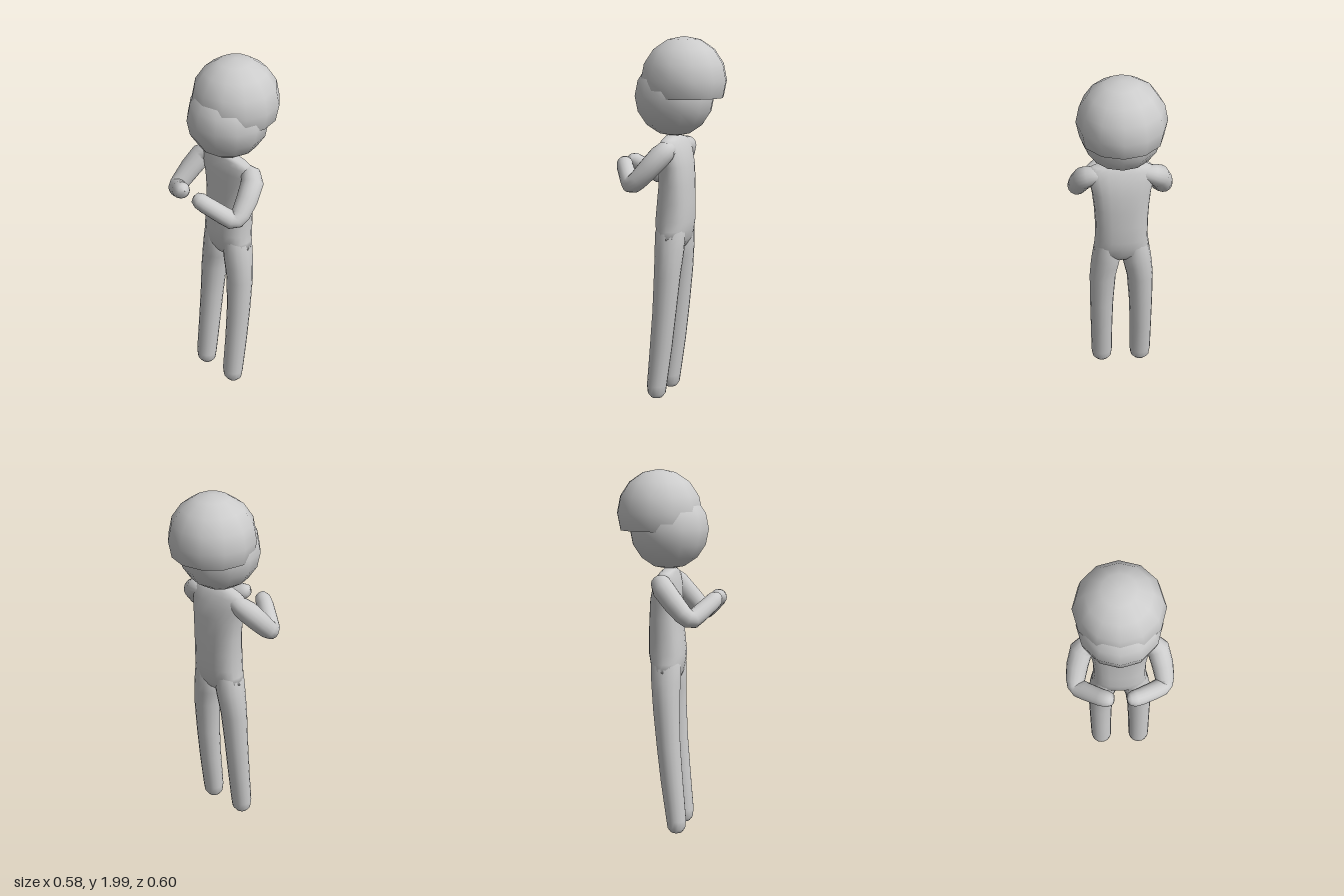
import * as THREE from 'three';

const UP = new THREE.Vector3(0, 1, 0);

// Skin a row of elliptical rings [x, y, z, rx, rz]; rings lie flat or follow the path.
function loft(rings, { sides = 16, follow = false, power = 2 } = {}) {
  const centres = rings.map(([x, y, z]) => new THREE.Vector3(x, y, z));
  const positions = [], index = [];
  const q = new THREE.Quaternion();
  let last = UP.clone();
  rings.forEach(([, , , rx, rz = rx], i) => {
    if (follow) {
      const a = centres[Math.max(i - 1, 0)], b = centres[Math.min(i + 1, rings.length - 1)];
      const dir = b.clone().sub(a).normalize();
      q.premultiply(new THREE.Quaternion().setFromUnitVectors(last, dir));
      last = dir;
    }
    for (let k = 0; k < sides; k++) {
      const t = (k / sides) * Math.PI * 2;
      const round = (v) => Math.sign(v) * Math.abs(v) ** (2 / power);
      const p = new THREE.Vector3(rx * round(Math.cos(t)), 0, rz * round(Math.sin(t)));
      p.applyQuaternion(q).add(centres[i]);
      positions.push(p.x, p.y, p.z);
      if (i < rings.length - 1) {
        const a = i * sides + k, b = i * sides + (k + 1) % sides;
        index.push(a, a + sides, b, b, a + sides, b + sides);
      }
    }
  });
  const g = new THREE.BufferGeometry();
  g.setAttribute('position', new THREE.Float32BufferAttribute(positions, 3));
  g.setIndex(index);
  g.computeVertexNormals();
  return g;
}

export function createModel() {
  const model = new THREE.Group();
  model.name = 'figure';
  const grey = new THREE.MeshStandardMaterial({ color: 0xcccccc, side: THREE.DoubleSide });
  grey.name = 'light grey';

  const add = (name, geometry) => {
    const mesh = new THREE.Mesh(geometry, grey);
    mesh.name = name;
    model.add(mesh);
    return mesh;
  };

  // Round head, and a larger cap of hair open at the bottom
  add('head', new THREE.SphereGeometry(0.22, 12, 8)).position.set(0, 1.68, -0.01);
  add('hair', new THREE.SphereGeometry(0.237, 12, 5, 0, Math.PI * 2, 0, Math.PI * 0.625))
    .position.set(0, 1.763, -0.063);

  // Torso from crotch to neck
  add('torso', loft([
    [0, 0.84, -0.01, 0.001, 0.001],
    [0, 0.855, -0.01, 0.07, 0.06],
    [0, 0.9, -0.012, 0.157, 0.083],
    [0, 0.95, -0.013, 0.15, 0.093],
    [0, 1.0, -0.015, 0.145, 0.1],
    [0, 1.1, -0.02, 0.145, 0.095],
    [0, 1.2, -0.024, 0.15, 0.087],
    [0, 1.3, -0.022, 0.16, 0.083],
    [0, 1.38, -0.015, 0.18, 0.07],
    [0, 1.425, -0.01, 0.19, 0.053],
    [0, 1.448, -0.007, 0.15, 0.042],
    [0, 1.466, 0, 0.055, 0.03],
    [0, 1.47, 0, 0.001, 0.001],
  ], { sides: 20, power: 2.4 }));

  for (const side of [1, -1]) {
    const word = side > 0 ? 'left' : 'right';
    const mirror = (rings) => rings.map(([x, ...rest]) => [side * x, ...rest]);

    // Leg with a rounded foot end
    add(word + 'Leg', loft(mirror([
      [0.114, 0.008, 0.055, 0.001, 0.001],
      [0.114, 0.012, 0.055, 0.035, 0.032],
      [0.114, 0.035, 0.055, 0.055, 0.049],
      [0.114, 0.08, 0.054, 0.061, 0.055],
      [0.114, 0.3, 0.029, 0.063, 0.062],
      [0.112, 0.5, 0.01, 0.067, 0.066],
      [0.105, 0.7, -0.004, 0.074, 0.073],
      [0.092, 0.79, -0.008, 0.08, 0.078],
      [0.083, 0.85, -0.01, 0.082, 0.082],
      [0.077, 0.94, -0.012, 0.074, 0.084],
      [0.07, 1.0, -0.014, 0.06, 0.07],
    ])));

    // Bent arm from shoulder through elbow to rounded hand
    add(word + 'Arm', loft(mirror([
      [0.12, 1.4, -0.02, 0.04],
      [0.17, 1.393, -0.018, 0.055],
      [0.2, 1.37, 0, 0.061],
      [0.224, 1.3, 0.06, 0.058],
      [0.236, 1.24, 0.115, 0.052],
      [0.233, 1.22, 0.142, 0.05],
      [0.217, 1.217, 0.163, 0.05],
      [0.18, 1.24, 0.19, 0.048],
      [0.1, 1.29, 0.242, 0.046],
      [0.07, 1.307, 0.256, 0.044],
      [0.045, 1.318, 0.264, 0.031],
      [0.035, 1.322, 0.267, 0.001],
    ]), { follow: true }));
  }
  return model;
}
